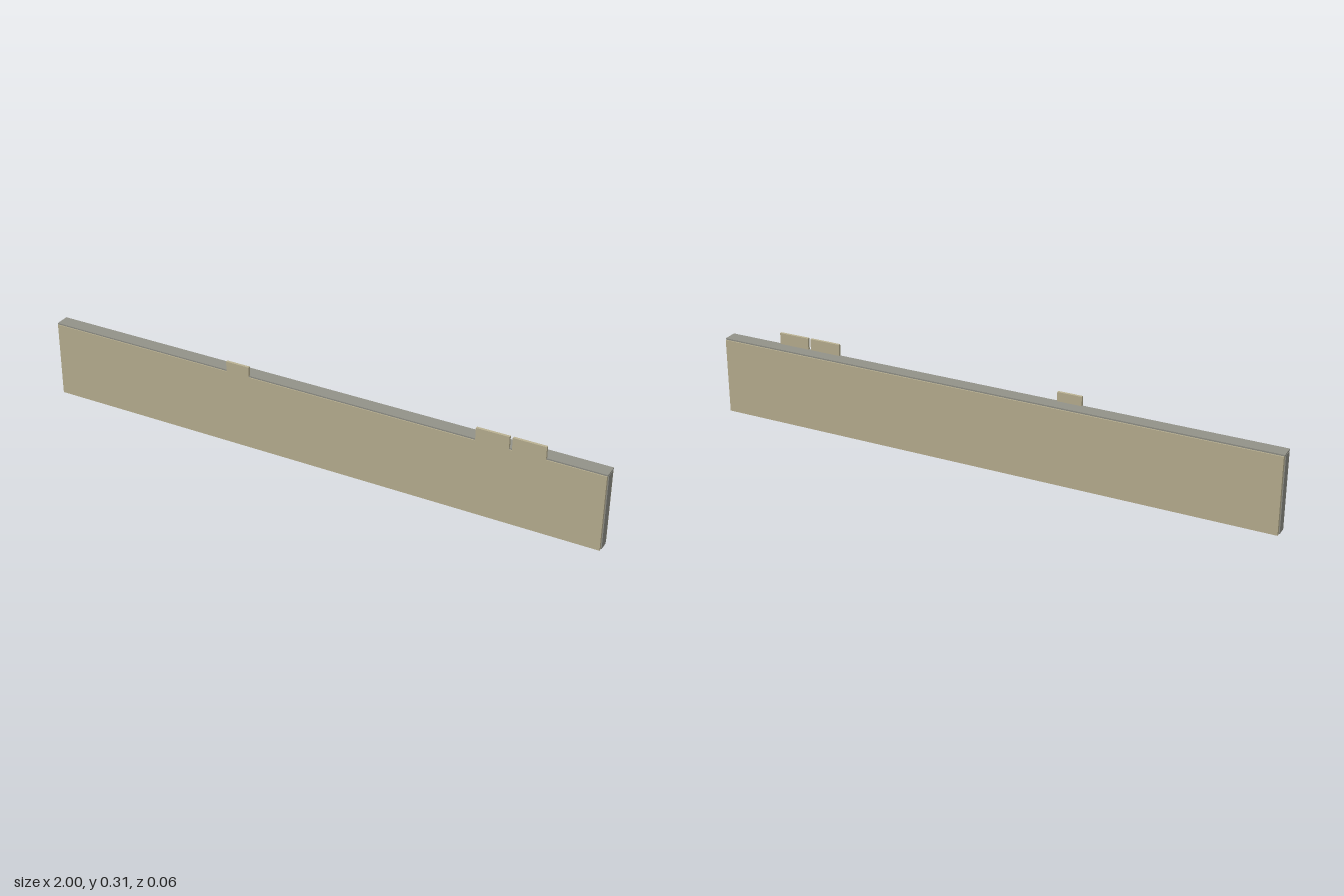
import * as THREE from 'three';

export function createModel() {
  const model = new THREE.Group();
  const material = (name, color) => {
    const m = new THREE.MeshStandardMaterial({ color });
    m.name = name;
    return m;
  };
  const tan = material('tan', 0xbbb293);
  const grey = material('grey', 0x929289);
  const black = material('black', 0x161616);

  // Box given by its lower and upper corners
  const box = (name, mat, [x0, y0, z0], [x1, y1, z1]) => {
    const mesh = new THREE.Mesh(new THREE.BoxGeometry(x1 - x0, y1 - y0, z1 - z0), mat);
    mesh.position.set((x0 + x1) / 2, (y0 + y1) / 2, (z0 + z1) / 2);
    mesh.name = name;
    model.add(mesh);
  };

  // Core with exposed ends, and the cap strip along its top
  box('core', grey, [-1, 0.001, -0.0165], [1, 0.267, 0.018]);
  box('topCap', grey, [-0.999, 0.267, -0.024], [0.999, 0.272, 0.025]);

  // Back facing panel
  box('backPanel', tan, [-0.997, 0, -0.028], [0.997, 0.267, -0.0165]);

  // Front facing panel
  box('frontPanel', tan, [-0.997, 0, 0.018], [0.997, 0.267, 0.028]);

  // Tabs rising from the front panel
  const tabs = [[-0.32, -0.235, 0.304], [0.57, 0.682, 0.312], [0.692, 0.803, 0.312]];
  for (const [x0, x1, top] of tabs) {
    box('frontTab', tan, [x0, 0.267, 0.019], [x1, top, 0.028]);
  }

  // Dark cells along the underside, separated by narrow ribs
  const cells = 16;
  const pitch = 1.99 / cells;
  for (let i = 0; i < cells; i++) {
    const x = -0.995 + i * pitch;
    box('undersideCell', black, [x + 0.001, 0, -0.0165], [x + pitch - 0.001, 0.002, 0.018]);
  }
  return model;
}
